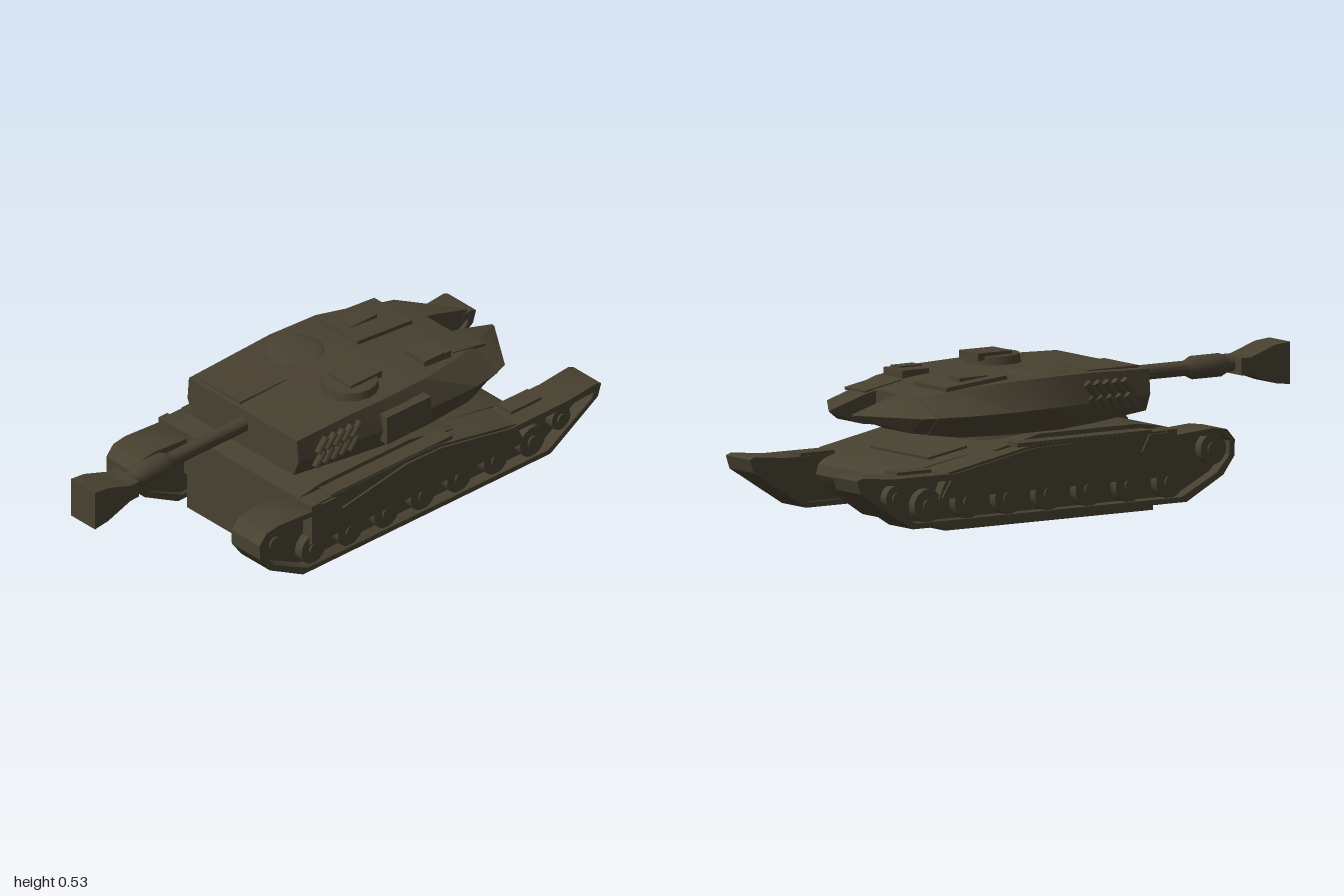
import * as THREE from 'three';
import { toCreasedNormals } from 'three/addons/utils/BufferGeometryUtils.js';

const olive = new THREE.MeshStandardMaterial({ color: 0x484131 });
olive.name = 'dark olive';

export function createModel() {
  const model = new THREE.Group();
  model.name = 'tank';

  const add = (name, geometry, x = 0, y = 0, z = 0) => {
    const mesh = new THREE.Mesh(geometry, olive);
    mesh.name = name;
    mesh.position.set(x, y, z);
    model.add(mesh);
    return mesh;
  };
  const box = (name, w, h, d, x, y, z) => add(name, new THREE.BoxGeometry(w, h, d), x, y, z);
  const toShape = (pts) => new THREE.Shape(pts.map(([z, y]) => new THREE.Vector2(z, y)));

  // Side profile of [z, y] points, extruded across x and centred on x
  const profile = (name, pts, width, x = 0, hole = null) => {
    const shape = toShape(pts);
    if (hole) shape.holes.push(toShape(hole));
    const geo = new THREE.ExtrudeGeometry(shape, { depth: width, bevelEnabled: false });
    geo.rotateY(-Math.PI / 2).translate(width / 2, 0, 0);
    return add(name, toCreasedNormals(geo, 0.6), x);
  };

  // Closed loft through cross-sections, listed from front to back
  const loft = (name, sections) => {
    const pos = [];
    const n = sections[0].pts.length;
    const put = (s, k) => pos.push(s.pts[k % n][0], s.pts[k % n][1], s.z);
    for (let i = 0; i < sections.length - 1; i++) {
      const f = sections[i], b = sections[i + 1];
      for (let k = 0; k < n; k++) {
        put(f, k); put(b, k); put(f, k + 1);
        put(f, k + 1); put(b, k); put(b, k + 1);
      }
    }
    const last = sections[sections.length - 1];
    for (let k = 1; k < n - 1; k++) {
      put(sections[0], 0); put(sections[0], k); put(sections[0], k + 1);
      put(last, 0); put(last, k + 1); put(last, k);
    }
    const geo = new THREE.BufferGeometry();
    geo.setAttribute('position', new THREE.Float32BufferAttribute(pos, 3));
    geo.computeVertexNormals();
    return add(name, toCreasedNormals(geo, 0.4));
  };

  // Hull, sponsons and deck
  profile('lowerHull', [[0.31, 0], [0.31, 0.285], [-0.25, 0.285], [-0.6, 0.225], [-0.69, 0.205],
    [-0.72, 0.185], [-0.73, 0.15], [-0.71, 0.115], [-0.54, 0]], 0.48);
  profile('sponsons', [[0.31, 0.13], [0.31, 0.287], [-0.25, 0.287], [-0.62, 0.218], [-0.66, 0.13]], 0.745);
  profile('deck', [[0.31, 0.27], [0.31, 0.29], [0.2, 0.308], [-0.2, 0.308], [-0.4, 0.265]], 0.62);
  box('frontLip', 0.76, 0.03, 0.04, 0, 0.275, 0.29);
  add('turretRing', new THREE.CylinderGeometry(0.25, 0.26, 0.04, 32), 0, 0.302, -0.15);
  box('rearDeckPlate', 0.34, 0.008, 0.16, 0, 0.25, -0.48).rotation.x = -0.17;

  // Track runs with wheels
  const band = [[0.35, 0.04], [0.5, 0.12], [0.545, 0.18], [0.547, 0.235], [0.515, 0.272], [0.46, 0.28],
    [0.31, 0.27], [0.2, 0.21], [-0.85, 0.215], [-0.98, 0.228], [-1, 0.22], [-0.985, 0.175], [-0.77, 0.04]];
  const inside = [[0.33, 0.058], [0.475, 0.13], [0.525, 0.185], [0.525, 0.232], [0.5, 0.256], [0.4, 0.257],
    [0.3, 0.25], [0.2, 0.19], [-0.85, 0.193], [-0.965, 0.2], [-0.96, 0.18], [-0.76, 0.058]];
  const wheel = (name, r, x, y, z, width) => {
    const geo = new THREE.CylinderGeometry(r, r, width, 24);
    add(name, geo.rotateZ(Math.PI / 2), x, y, z);
  };
  for (const s of [-1, 1]) {
    profile('trackBand', band, 0.14, s * 0.31, inside);
    profile('trackInnerWall', inside, 0.08, s * 0.295);
    for (let i = 0; i < 7; i++) {
      const z = 0.29 - i * 0.165;
      wheel('roadWheel', 0.056, s * 0.345, 0.112, z, 0.045);
      wheel('roadWheelHub', 0.022, s * 0.355, 0.112, z, 0.04);
    }
    wheel('frontSprocket', 0.052, s * 0.345, 0.208, 0.468, 0.045);
    wheel('frontSprocketHub', 0.025, s * 0.355, 0.208, 0.468, 0.04);
    wheel('rearIdler', 0.042, s * 0.345, 0.148, -0.83, 0.045);
    wheel('rearIdlerHub', 0.018, s * 0.355, 0.148, -0.83, 0.04);

    // Skirt plate, shelf stowage and rear track guard
    profile('skirt', [[0.31, 0.14], [0.31, 0.28], [0.2, 0.28], [0.17, 0.225], [-0.12, 0.275],
      [-0.28, 0.272], [-0.6, 0.212], [-0.65, 0.135]], 0.009, s * 0.3755);
    box('shelfPanel', 0.06, 0.014, 0.55, s * 0.34, 0.286, -0.06);
    box('rearTrackGuard', 0.07, 0.02, 0.14, s * 0.28, 0.215, -0.72);
  }

  // Turret body: half-width and height at the foot, the widest line and the roof
  const body = [
    [0.275, 0.25, 0.34, 0.275, 0.4, 0.268, 0.483],
    [0.05, 0.265, 0.318, 0.29, 0.39, 0.272, 0.489],
    [-0.1, 0.28, 0.31, 0.308, 0.39, 0.278, 0.49],
    [-0.3, 0.285, 0.31, 0.327, 0.39, 0.27, 0.485],
    [-0.5, 0.275, 0.315, 0.318, 0.39, 0.225, 0.466],
    [-0.61, 0.24, 0.328, 0.295, 0.39, 0.18, 0.446],
  ];
  loft('turretBody', body.map(([z, wb, yb, wm, ym, wt, yt]) => ({
    z,
    pts: [[-wb, yb], [wb, yb], [Math.min(wm, 0.312), ym], [wt, yt], [-wt, yt], [-wm, ym]],
  })));

  // Pointed cheeks either side of the open slot
  const cheek = [
    [-0.6, 0.24, 0.328, 0.297, 0.39, 0.18, 0.447],
    [-0.66, 0.215, 0.335, 0.275, 0.39, 0.155, 0.433],
    [-0.795, 0.07, 0.385, 0.075, 0.39, 0.07, 0.393],
  ];
  for (const s of [-1, 1]) {
    loft('turretCheek', cheek.map(([z, wb, yb, wm, ym, wt, yt]) => {
      const pts = [[0.062, yb], [wb, yb], [wm, ym], [wt, yt], [0.062, yt]].map(([x, y]) => [s * x, y]);
      return { z, pts: s > 0 ? pts : pts.reverse() };
    }));

    // Slanted smoke launchers in two rows
    for (let row = 0; row < 2; row++) {
      for (let i = 0; i < 5; i++) {
        const tube = add('smokeLauncher', new THREE.CylinderGeometry(0.013, 0.013, 0.06, 10),
          s * 0.286, 0.385 + row * 0.05, 0.19 - i * 0.038 - row * 0.012);
        tube.rotation.x = -0.7;
      }
    }
  }
  box('sideBox', 0.04, 0.105, 0.2, 0.305, 0.397, -0.18);

  // Roof fittings
  box('frontRoofPlate', 0.2, 0.012, 0.21, -0.13, 0.486, 0.155);
  box('rearHatch', 0.19, 0.014, 0.25, -0.13, 0.483, -0.4).rotation.x = -0.09;
  box('rearHatchHandle', 0.065, 0.02, 0.12, -0.15, 0.49, -0.38);
  add('loaderDome', new THREE.SphereGeometry(0.1, 24, 12), -0.15, 0.486, -0.1).scale.y = 0.14;
  add('cupola', new THREE.CylinderGeometry(0.095, 0.1, 0.04, 16), 0.14, 0.499, -0.08);
  box('cupolaLid', 0.11, 0.025, 0.14, 0.135, 0.518, -0.11);
  box('sightHousing', 0.11, 0.04, 0.11, 0.155, 0.475, -0.42);
  box('sightHood', 0.05, 0.02, 0.09, 0.185, 0.49, -0.4);
  box('cheekPanel', 0.12, 0.01, 0.15, 0.135, 0.452, -0.57).rotation.x = -0.18;

  // Gun: stepped barrel and flared square muzzle
  const barrel = [[0, 0.25], [0.026, 0.25], [0.026, 0.61], [0.04, 0.64], [0.04, 0.75], [0.027, 0.78], [0.027, 0.85], [0, 0.85]];
  const gun = new THREE.LatheGeometry(barrel.map(([r, z]) => new THREE.Vector2(r, z)), 16);
  add('gunBarrel', toCreasedNormals(gun.rotateX(Math.PI / 2), 0.5), 0, 0.425, 0);
  profile('muzzle', [[1, 0.346], [1, 0.49], [0.94, 0.484], [0.84, 0.45], [0.8, 0.45],
    [0.8, 0.392], [0.84, 0.39], [0.94, 0.354]], 0.12);

  return model;
}
